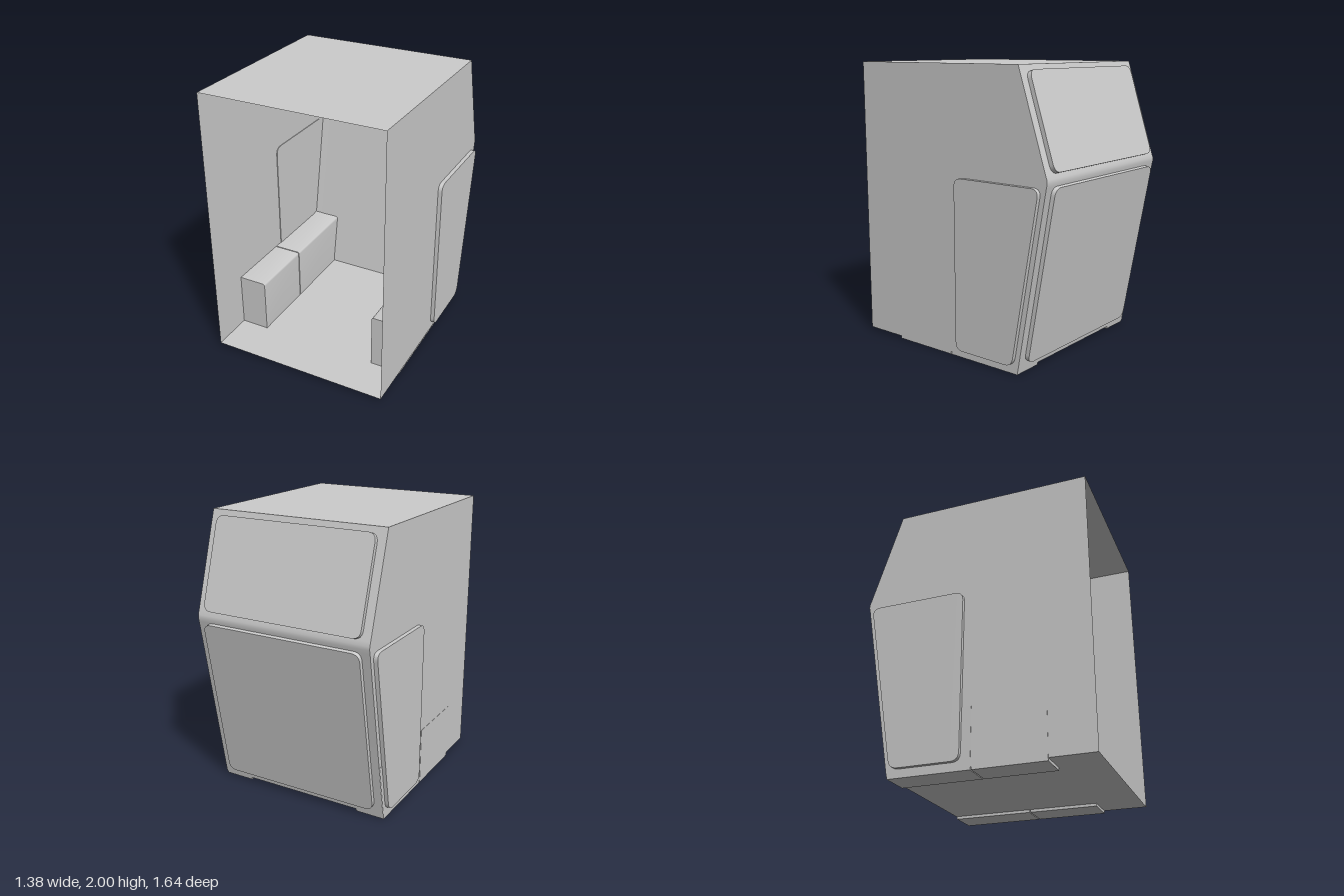
import * as THREE from 'three';
import { toCreasedNormals } from 'three/addons/utils/BufferGeometryUtils.js';
import { RoundedBoxGeometry } from 'three/addons/geometries/RoundedBoxGeometry.js';

const HALF = 0.66; // half width of the cab
const FLOOR = 0.02;
const RIDGE = [-0.8, 1.3]; // z, y of the bend in the rear wall
const FOOT_Z = -0.575;

// Side outline as [z, y], from the open front along floor, rear and roof
const OUTLINE = [
  [0.82, FLOOR], [FOOT_Z, FLOOR], [-0.793, 1.26], [-0.799, 1.286],
  [-0.798, 1.31], [-0.788, 1.337], [FOOT_Z, 2], [0.82, 2],
];

// z of the lower rear wall at a given height
const rearZ = (y) => FOOT_Z + ((y - FLOOR) / (RIDGE[1] - FLOOR)) * (RIDGE[0] - FOOT_Z);

// Polygon with rounded corners
function roundedShape(points, r) {
  const pts = points.map(([x, y]) => new THREE.Vector2(x, y));
  const shape = new THREE.Shape();
  pts.forEach((p, i) => {
    const prev = pts[(i + pts.length - 1) % pts.length];
    const next = pts[(i + 1) % pts.length];
    const a = prev.clone().sub(p).setLength(r).add(p);
    const b = next.clone().sub(p).setLength(r).add(p);
    if (i === 0) shape.moveTo(a.x, a.y);
    else shape.lineTo(a.x, a.y);
    shape.quadraticCurveTo(p.x, p.y, b.x, b.y);
  });
  shape.closePath();
  return shape;
}

function plate(shape, depth) {
  const geo = new THREE.ExtrudeGeometry(shape, { depth, bevelEnabled: false, curveSegments: 6 });
  return toCreasedNormals(geo, 0.6);
}

export function createModel() {
  const model = new THREE.Group();
  const grey = new THREE.MeshStandardMaterial({ color: 0xcccccc });
  const thin = new THREE.MeshStandardMaterial({ color: 0xcccccc, side: THREE.DoubleSide });

  function add(name, geo, material = grey) {
    const mesh = new THREE.Mesh(geo, material);
    mesh.name = name;
    model.add(mesh);
    return mesh;
  }

  // Floor, rear wall and roof as one folded sheet, open at the front
  const sheet = new THREE.PlaneGeometry(2 * HALF, 1, 1, OUTLINE.length - 1);
  const sp = sheet.attributes.position;
  for (let i = 0; i < sp.count; i++) {
    const [z, y] = OUTLINE[Math.floor(i / 2)];
    sp.setXYZ(i, sp.getX(i), y, z);
  }
  add('floorRearAndRoof', toCreasedNormals(sheet, 0.5), thin);

  // Side walls
  const wallShape = new THREE.Shape(OUTLINE.map(([z, y]) => new THREE.Vector2(-z, y)));
  for (const side of [-1, 1]) {
    const wall = add(side > 0 ? 'leftWall' : 'rightWall', new THREE.ShapeGeometry(wallShape), thin);
    wall.rotation.y = Math.PI / 2;
    wall.position.x = side * HALF;
  }

  // Raised side panels, their rear edge following the sloping wall
  const doorShape = roundedShape([[0.06, 0.06], [0.545, 0.06], [0.755, 1.255], [0.06, 1.255]], 0.06);
  for (const side of [-1, 1]) {
    const door = add(side > 0 ? 'leftSidePanel' : 'rightSidePanel', plate(doorShape, 0.034));
    door.rotation.y = Math.PI / 2;
    door.position.x = side > 0 ? HALF - 0.005 : -HALF - 0.029;
  }

  // Rear panels lying on the two slopes
  function rearPanel(name, low, high, height) {
    const w = 0.6, h = height / 2;
    const geo = plate(roundedShape([[-w, -h], [w, -h], [w, h], [-w, h]], 0.06), 0.035);
    geo.rotateY(Math.PI);
    const panel = add(name, geo);
    panel.rotation.x = Math.atan2(high[0] - low[0], high[1] - low[1]);
    panel.position.set(0, (low[1] + high[1]) / 2, (low[0] + high[0]) / 2);
    panel.translateZ(0.005);
  }
  rearPanel('lowerRearPanel', [rearZ(0.075), 0.075], [rearZ(1.26), 1.26], 1.205);
  rearPanel('rearWindow', [-0.787, 1.34], [-0.588, 1.96], 0.651);

  // Benches along both walls, each in two sections; the rear one meets the slope
  function benchSection(name, inner, outer, front, back) {
    const h = 0.42, r = 0.02, s = Math.sign(outer);
    const shape = new THREE.Shape();
    shape.moveTo(inner, 0);
    shape.lineTo(outer, 0);
    shape.lineTo(outer, h);
    shape.lineTo(inner + s * r, h);
    shape.quadraticCurveTo(inner, h, inner, h - r);
    shape.closePath();
    const geo = new THREE.ExtrudeGeometry(shape, { depth: 1, bevelEnabled: false, curveSegments: 4 });
    const p = geo.attributes.position;
    for (let i = 0; i < p.count; i++) {
      const end = back === null ? rearZ(p.getY(i)) + 0.003 : back;
      p.setZ(i, p.getZ(i) > 0.5 ? front : end);
    }
    add(name, toCreasedNormals(geo, 0.6));
  }
  for (const [label, inner, outer] of [['right', -0.45, -0.662], ['left', 0.435, 0.656]]) {
    benchSection(label + 'BenchFront', inner, outer, 0.51, 0.014);
    benchSection(label + 'BenchRear', inner, outer, 0.006, null);
  }

  // Fittings on the inside of the left wall
  add('wallPanel', new RoundedBoxGeometry(0.034, 0.51, 0.5, 2, 0.006)).position.set(0.642, 1.255, -0.1);
  add('wallBox', new RoundedBoxGeometry(0.084, 0.265, 0.4, 3, 0.012)).position.set(0.616, 0.697, -0.1);

  return model;
}
